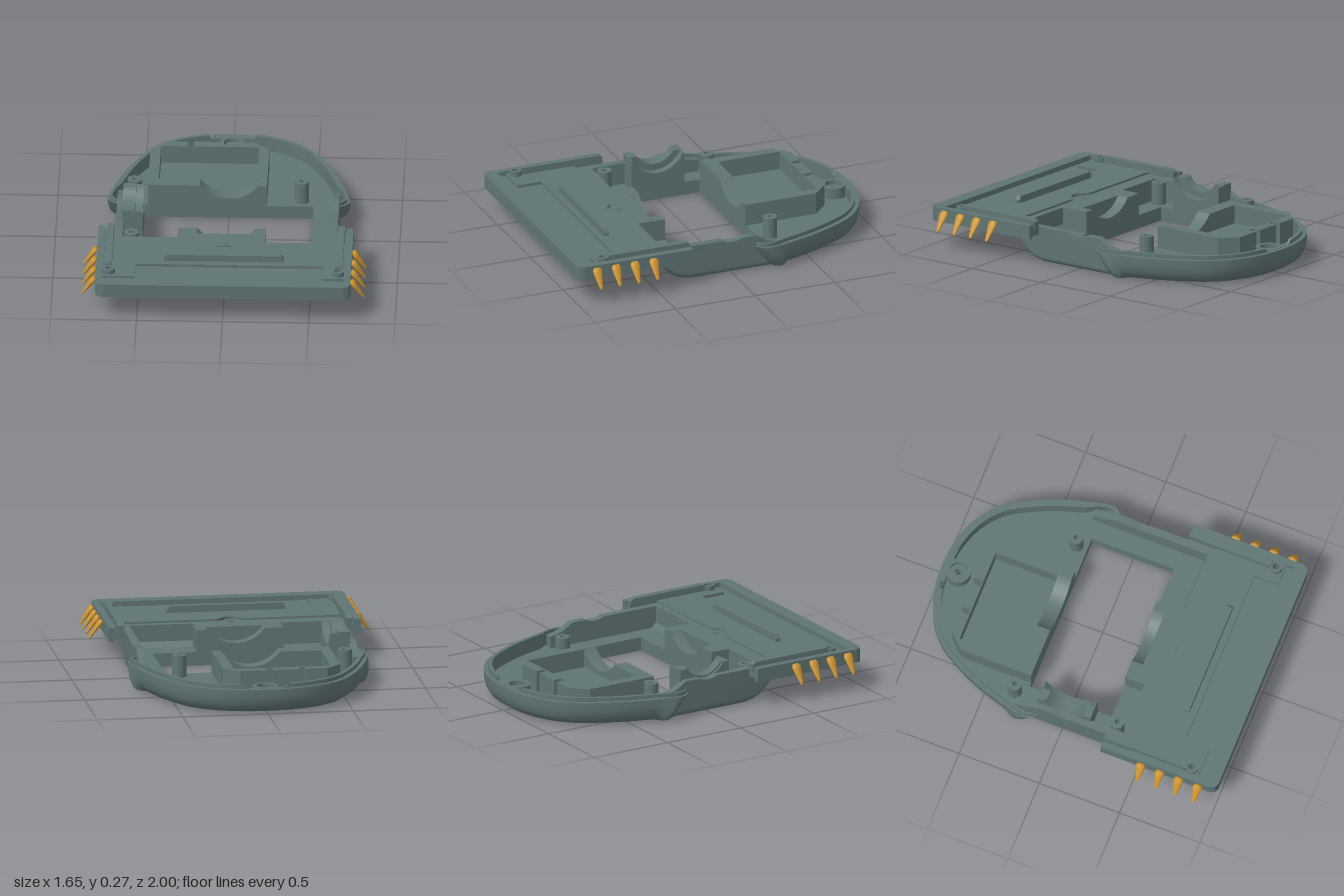
import * as THREE from 'three';
import { toCreasedNormals } from 'three/addons/utils/BufferGeometryUtils.js';

const V = (x, y) => new THREE.Vector2(x, y);
const shapeOf = pts => new THREE.Shape(pts.map(p => V(p[0], p[1])));
const rect = (x0, y0, x1, y1) => [[x0, y0], [x1, y0], [x1, y1], [x0, y1]];
const circle = (x, y, r) => new THREE.Path().absarc(x, y, r, 0, Math.PI * 2, true);

// Extrusions along each axis between two limits
const extrude = (shape, depth) =>
  new THREE.ExtrudeGeometry(shape, { depth, bevelEnabled: false, curveSegments: 20 });
const alongZ = (shape, z0, z1) => extrude(shape, z1 - z0).translate(0, 0, z0);
const alongX = (shape, x0, x1) => extrude(shape, x1 - x0).rotateY(-Math.PI / 2).translate(x1, 0, 0); // shape in (z, y)
const alongY = (shape, y0, y1) => extrude(shape, y1 - y0).rotateX(Math.PI / 2).translate(0, y1, 0); // shape in (x, z)

// Sweeps a closed section through n stations, with capped ends
function loft(section, n, map) {
  let sec = section.map(p => V(p[0], p[1]));
  if (THREE.ShapeUtils.isClockWise(sec)) sec = sec.reverse();
  const m = sec.length, P = [], tris = [];
  for (let i = 0; i < n; i++) for (const p of sec) P.push(map(p, i));
  for (let i = 0; i < n - 1; i++) for (let j = 0; j < m; j++) {
    const k = (j + 1) % m, a = i * m + j, b = i * m + k, c = b + m, d = a + m;
    tris.push([a, b, c], [a, c, d]);
  }
  const off = (n - 1) * m;
  for (const [a, b, c] of THREE.ShapeUtils.triangulateShape(sec, []))
    tris.push([c, b, a], [a + off, b + off, c + off]);
  let vol = 0;
  for (const [a, b, c] of tris) vol += P[a].dot(P[b].clone().cross(P[c]));
  const pos = [];
  for (const t of tris) for (const v of (vol < 0 ? [t[0], t[2], t[1]] : t)) pos.push(...P[v].toArray());
  const g = new THREE.BufferGeometry();
  g.setAttribute('position', new THREE.Float32BufferAttribute(pos, 3));
  return toCreasedNormals(g, 0.6);
}

// Block with a round saddle cut into its top edge
function saddle(a, b, y0, top, r, cy = 0.335) {
  const t = Math.asin((cy - top) / r), s = new THREE.Shape();
  s.moveTo(a, y0); s.lineTo(b, y0); s.lineTo(b, top);
  s.absarc(0, cy, r, -t, -Math.PI + t, true);
  s.lineTo(a, top);
  return s;
}

export function createModel() {
  const grey = new THREE.MeshStandardMaterial({ color: 0x607474 });
  grey.name = 'slate grey';
  const gold = new THREE.MeshStandardMaterial({ color: 0xc9922f });
  gold.name = 'amber';
  const model = new THREE.Group();
  model.name = 'lowerShell';
  const add = (name, geo, mat = grey) => {
    const mesh = new THREE.Mesh(geo, mat);
    mesh.name = name;
    model.add(mesh);
    return mesh;
  };

  // Rounded rear outline, from the left flare round to the right one
  const half = [[0.12, -0.993], [0.25, -0.96], [0.37, -0.9], [0.47, -0.81], [0.55, -0.68], [0.61, -0.55],
    [0.66, -0.4], [0.7, -0.24], [0.703, -0.2], [0.685, -0.17], [0.645, -0.14]];
  const pts = [...half].reverse().concat([[0, -1]], half.map(p => [-p[0], p[1]]));
  const curve = new THREE.CatmullRomCurve3(pts.map(p => new THREE.Vector3(p[0], 0, p[1])), false, 'centripetal');
  const N = 101;
  // Inward offset; near the flares it runs straight sideways so the tip does not fold
  const inset = (i, d) => {
    const u = i / (N - 1), p = curve.getPointAt(u), t = curve.getTangentAt(u);
    const k = THREE.MathUtils.smoothstep(p.z, -0.4, -0.24), w = d * (1 - 0.4 * k);
    return [p.x + w * THREE.MathUtils.lerp(t.z, -Math.sign(p.x), k), p.z - w * t.x * (1 - k)];
  };

  // Rear rim: rounded outer wall with a lip that stops at the rear post; the flare leans back towards the bottom
  const rim = [[0.09, 0], [0.055, 0.006], [0.028, 0.024], [0.01, 0.055], [0, 0.1], [0, 0.145], [0.025, 0.145],
    [0.025, 0.168], [0.048, 0.168], [0.048, 0.08], [0.09, 0.08]];
  add('rearRim', loft(rim, N, (p, i) => {
    const [x, z] = inset(i, p.x);
    const lean = 0.1 * Math.max(0, 1 - p.y / 0.145) * THREE.MathUtils.clamp((z + 0.35) / 0.15, 0, 1);
    const top = Math.abs(x) < 0.12 && z < -0.8 ? 0.146 : 1;
    return new THREE.Vector3(x, Math.min(p.y, top), z - lean);
  }));

  // Floor with the large opening and rear screw hole
  const outline = [];
  for (let i = 0; i < N; i++) {
    const p = inset(i, 0.075);
    if (p[1] < -0.26) outline.push(p);
  }
  const floor = shapeOf([[0.61, 0.28], [0.61, -0.2], ...outline, [-0.61, -0.2], [-0.61, 0.28]]);
  floor.holes.push(new THREE.Path(rect(-0.49, -0.26, 0.49, 0.25).map(p => V(p[0], p[1]))), circle(0, -0.9, 0.02));
  add('floor', alongY(floor, 0, 0.08));

  // Side walls, rounded along the bottom edge
  const nose = [[0.26, 0], [0.32, 0.013], [0.37, 0.04], [0.42, 0.085], [0.455, 0.13], [0.47, 0.15]];
  const wall = [[-0.3, 0], ...nose, [0.47, 0.21], [0.064, 0.21], [0.03, 0.198], [0, 0.195], [-0.03, 0.198],
    [-0.064, 0.21], [-0.15, 0.21], [-0.22, 0.168], [-0.3, 0.15]];
  for (const s of [1, -1]) {
    add(s > 0 ? 'leftWall' : 'rightWall', loft(wall, 8, (p, i) => {
      const t = Math.max(0, i - 1) / 6 * Math.PI / 2, off = 0.035 * (1 - Math.cos(t));
      const x = i === 0 ? 0.6 : 0.61 + 0.035 * Math.sin(t);
      const low = p.y < 0.149 ? off : 0, front = p.x > 0.25 ? p.y / 0.15 : 0;
      return new THREE.Vector3(s * x, p.y + low * (1 - front * 0.5), p.x - low * front);
    }));
  }

  // Curved nose block, cut back to different depths for the pockets
  for (const [x0, x1, zs] of [[-0.61, -0.28, 0.37], [-0.28, -0.17, 0.25], [-0.17, 0.17, 0.32],
    [0.17, 0.23, 0.25], [0.23, 0.61, 0.42]]) {
    const inner = [[zs, 0.21]];
    if (zs > 0.4) inner.push([zs, 0.11]);
    if (zs > 0.25) inner.push([Math.min(zs, 0.39), 0.08], [0.25, 0.08]);
    add('noseBlock', alongX(shapeOf([[0.25, 0], ...nose, [0.47, 0.21], ...inner]), x0, x1));
  }
  add('frontCradle', alongZ(saddle(-0.17, 0.17, 0.03, 0.21, 0.21), 0.25, 0.32));

  // Side cradle in three steps
  for (const [x0, x1, r] of [[-0.61, -0.595, 0.14], [-0.595, -0.535, 0.13], [-0.535, -0.49, 0.17]])
    add('sideCradle', alongX(saddle(-0.168, 0.165, 0, r > 0.15 ? 0.265 : 0.27, r), x0, x1));

  // Rear compartment: notched walls, floor and saddle-cut front wall
  const box = shapeOf([[-0.47, -0.34], [-0.47, -0.7], [-0.38, -0.79], [-0.255, -0.79], [-0.255, -0.737],
    [-0.22, -0.737], [-0.22, -0.79], [-0.065, -0.79], [-0.065, -0.737], [-0.03, -0.737], [-0.03, -0.79],
    [0.13, -0.79], [0.22, -0.7], [0.22, -0.34], [0.16, -0.34], [0.16, -0.73], [-0.41, -0.73], [-0.41, -0.34]]);
  add('compartmentWalls', alongY(box, 0.07, 0.21));
  add('compartmentFloor', alongY(shapeOf(rect(-0.42, -0.74, 0.17, -0.33)), 0.07, 0.1));
  add('compartmentFront', alongZ(saddle(-0.47, 0.22, 0, 0.21, 0.21), -0.345, -0.26));

  // Screw posts
  const post = (x, z, r, hole, y0, y1) => {
    const s = new THREE.Shape().absarc(x, z, r, 0, Math.PI * 2, false);
    s.holes.push(circle(x, z, hole));
    add('screwPost', alongY(s, y0, y1));
  };
  for (const [x, z] of [[-0.55, -0.33], [0.42, -0.33], [-0.55, 0.31]]) post(x, z, 0.042, 0.015, 0.07, 0.21);
  post(0, -0.9, 0.075, 0.05, 0.07, 0.147);
  post(0, -0.9, 0.055, 0.02, 0.07, 0.12);
  post(0, 0.45, 0.022, 0.01, 0.19, 0.214);

  // Front plate: base, underside rim, raised deck and edge rim
  const corner = [[0.74, 0.28], [0.74, 0.96], [0.728, 0.988], [0.7, 1], [-0.7, 1], [-0.728, 0.988], [-0.74, 0.96],
    [-0.74, 0.28]];
  const edge = (w, front) => shapeOf([...corner, [-w, 0.28], [-w, front], [w, front], [w, 0.28]]);
  const plate = edge(0.63, 0.44);
  for (const s of [1, -1]) plate.holes.push(circle(s * 0.665, 0.82, 0.02));
  add('plateBase', alongY(plate, 0.165, 0.205));
  add('plateUnderRim', alongY(edge(0.71, 0.97), 0.152, 0.165));
  add('plateEdge', alongY(edge(0.7, 0.92), 0.205, 0.235));
  const deck = new THREE.Shape();
  deck.moveTo(-0.7, 0.46);
  deck.lineTo(-0.09, 0.46);
  deck.bezierCurveTo(-0.05, 0.47, -0.05, 0.515, 0, 0.515);
  deck.bezierCurveTo(0.05, 0.515, 0.05, 0.47, 0.09, 0.46);
  for (const [x, z] of [[0.7, 0.46], [0.7, 0.87], [0.575, 0.87], [0.575, 0.72], [-0.515, 0.72], [-0.515, 0.87],
    [-0.7, 0.87]]) deck.lineTo(x, z);
  for (const s of [1, -1]) deck.holes.push(circle(s * 0.665, 0.82, 0.02));
  add('plateDeck', alongY(deck, 0.2, 0.222));
  add('crossRib', alongZ(shapeOf([[-0.35, 0.21], [0.345, 0.21], [0.345, 0.24], [0.33, 0.262], [-0.335, 0.262],
    [-0.35, 0.24]]), 0.648, 0.68));

  // Side ridges, plate screw posts and spikes
  const spike = new THREE.LatheGeometry([[0, 0], [0.02, 0], [0.028, 0.015], [0.027, 0.035], [0.019, 0.075],
    [0.01, 0.122], [0.006, 0.13], [0, 0.132]].map(p => V(p[0], p[1])), 20).scale(0.6, 1, 1);
  for (const s of [1, -1]) {
    const ridge = shapeOf([[0.28, 0.2], [0.79, 0.2], [0.79, 0.26], [0.3, 0.26], [0.28, 0.245]]);
    add('sideRidge', alongX(ridge, s * 0.67 - 0.02, s * 0.67 + 0.02));
    post(s * 0.665, 0.82, 0.036, 0.02, 0.2, 0.25);
    for (let i = 0; i < 4; i++) {
      const m = add('spike', spike, gold);
      m.position.set(s * 0.745, 0.222, 0.535 + i * 0.118);
      m.rotation.z = -s * 2.53;
    }
  }
  return model;
}
